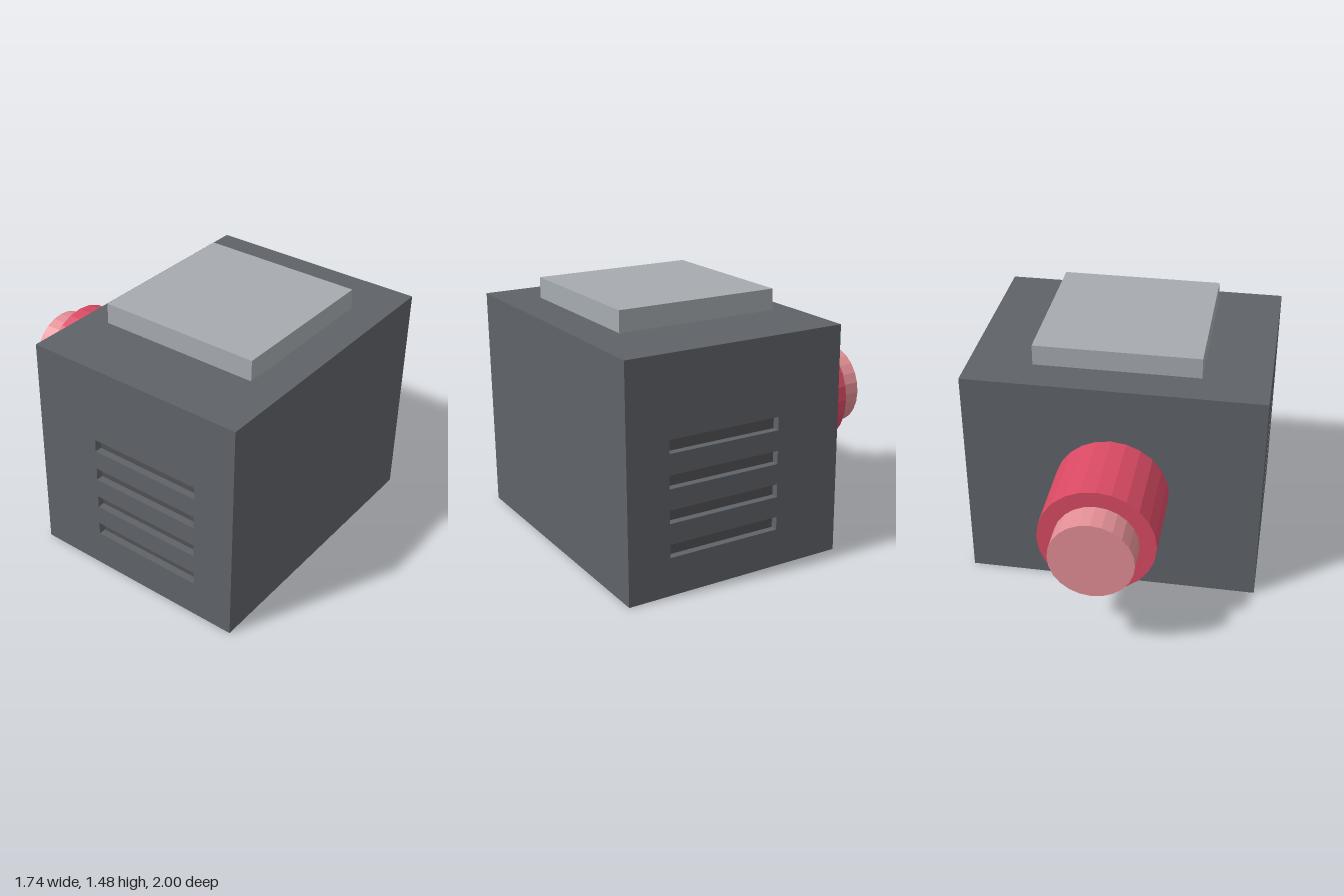
import * as THREE from 'three';

const W = 0.87, H = 1.335, BACK = -0.335, FRONT = 1, DEPTH = 0.045;
const SLOT_Z = [0.07, 0.75], SLOT_H = 0.076, SLOT_Y = [0.258, 0.452, 0.646, 0.84];

const mat = (color) => new THREE.MeshStandardMaterial({ color, flatShading: true });

export function createModel() {
  const model = new THREE.Group();
  const bodyMat = mat(0x5f6368), slotMat = mat(0x525255);
  const plateMat = mat(0xa6abb0), redMat = mat(0xd94a63), pinkMat = mat(0xe28f95);

  const add = (name, geometry, material, x, y, z) => {
    const mesh = new THREE.Mesh(geometry, material);
    mesh.name = name;
    mesh.position.set(x, y, z);
    model.add(mesh);
    return mesh;
  };
  const midZ = (FRONT + BACK) / 2;

  // Housing core between the two slotted side panels
  add('housing', new THREE.BoxGeometry(2 * (W - DEPTH), H, FRONT - BACK), bodyMat, 0, H / 2, midZ);

  // Side panel outline (shape x runs along -z) with the vent slots cut out
  const rect = (Type, z0, z1, y0, y1) => new Type([
    new THREE.Vector2(-z1, y0), new THREE.Vector2(-z0, y0),
    new THREE.Vector2(-z0, y1), new THREE.Vector2(-z1, y1),
  ]);
  const outline = rect(THREE.Shape, BACK, FRONT, 0, H);
  for (const y of SLOT_Y) {
    outline.holes.push(rect(THREE.Path, ...SLOT_Z, y - SLOT_H / 2, y + SLOT_H / 2));
  }
  const panel = new THREE.ExtrudeGeometry(outline, { depth: DEPTH, bevelEnabled: false });
  panel.rotateY(Math.PI / 2);
  add('leftVentPanel', panel, bodyMat, W - DEPTH, 0, 0);
  add('rightVentPanel', panel, bodyMat, -W, 0, 0);

  // Dark floors of the vent slots
  const floor = new THREE.BoxGeometry(0.004, SLOT_H, SLOT_Z[1] - SLOT_Z[0]);
  for (const side of [1, -1]) {
    for (const y of SLOT_Y) {
      add('ventSlotFloor', floor, slotMat, side * (W - DEPTH), y, (SLOT_Z[0] + SLOT_Z[1]) / 2);
    }
  }

  // Plate hovering just above the top
  add('topPlate', new THREE.BoxGeometry(0.97, 0.122, 0.97), plateMat, 0, 1.421, 0.333);

  // Stepped round fitting on the back
  const cylinder = (name, r, z0, z1, material) => {
    const geometry = new THREE.CylinderGeometry(r, r, z1 - z0, 24);
    geometry.rotateX(-Math.PI / 2);
    add(name, geometry, material, 0, 0.668, (z0 + z1) / 2);
  };
  cylinder('backCollar', 0.337, -0.832, BACK, redMat);
  cylinder('backCap', 0.242, -1, -0.832, pinkMat);

  return model;
}
